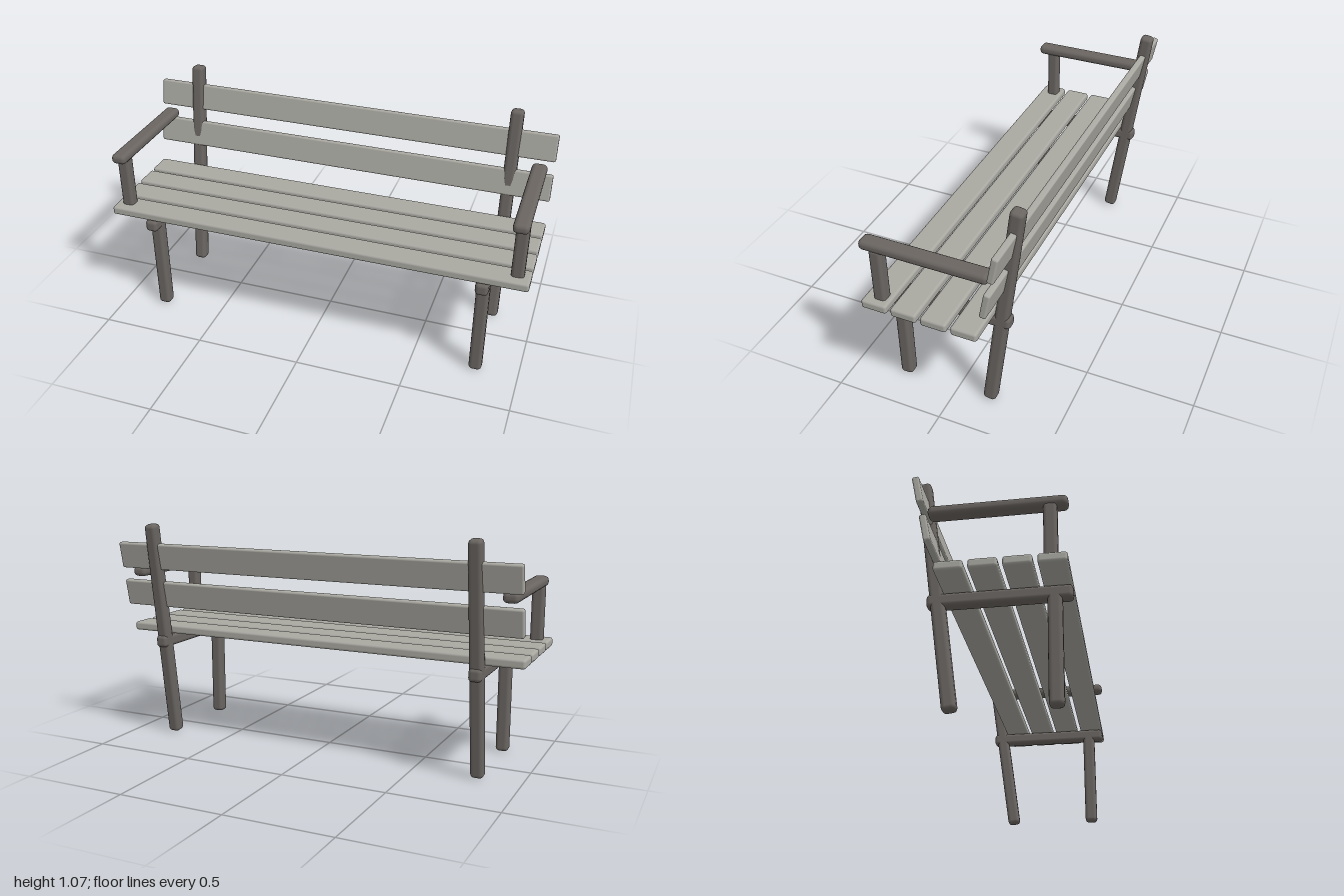
import * as THREE from 'three';
import { RoundedBoxGeometry } from 'three/addons/geometries/RoundedBoxGeometry.js';

export function createModel() {
  const bench = new THREE.Group();
  bench.name = 'bench';

  const slatWood = new THREE.MeshStandardMaterial({ color: 0xa9a8a1 });
  slatWood.name = 'paleSlatWood';
  const frameWood = new THREE.MeshStandardMaterial({ color: 0x6a6561 });
  frameWood.name = 'darkFrameWood';

  // A softened beam: size and centre as [x, y, z], tilted back by an angle
  function beam(name, material, size, centre, radius, tilt = 0) {
    const mesh = new THREE.Mesh(new RoundedBoxGeometry(...size, 2, radius), material);
    mesh.name = name;
    mesh.position.set(...centre);
    mesh.rotation.x = -tilt;
    bench.add(mesh);
  }

  // Four seat slats, front to back
  for (let i = 0; i < 4; i++) {
    beam('seatSlat' + (i + 1), slatWood, [2, 0.042, 0.118], [0, 0.542, 0.271 - i * 0.137], 0.012);
  }

  // Two leaning backrest slats
  beam('lowerBackSlat', slatWood, [2, 0.128, 0.03], [0, 0.726, -0.239], 0.009, 0.195);
  beam('upperBackSlat', slatWood, [2, 0.128, 0.03], [0, 0.914, -0.277], 0.009, 0.195);

  // Legs, rails and armrests on each side
  for (const [side, s] of [['left', 1], ['right', -1]]) {
    beam(side + 'FrontLeg', frameWood, [0.06, 0.49, 0.06], [s * 0.8, 0.247, 0.258], 0.018);
    beam(side + 'BackPost', frameWood, [0.06, 1.074, 0.06], [s * 0.8, 0.539, -0.228], 0.018, 0.134);
    beam(side + 'SeatRail', frameWood, [0.06, 0.06, 0.598], [s * 0.8, 0.489, 0.034], 0.018);
    beam(side + 'ArmSupport', frameWood, [0.058, 0.28, 0.056], [s * 0.94, 0.677, 0.26], 0.016);
    beam(side + 'Armrest', frameWood, [0.072, 0.048, 0.574], [s * 0.935, 0.827, 0.046], 0.021);
  }

  return bench;
}
